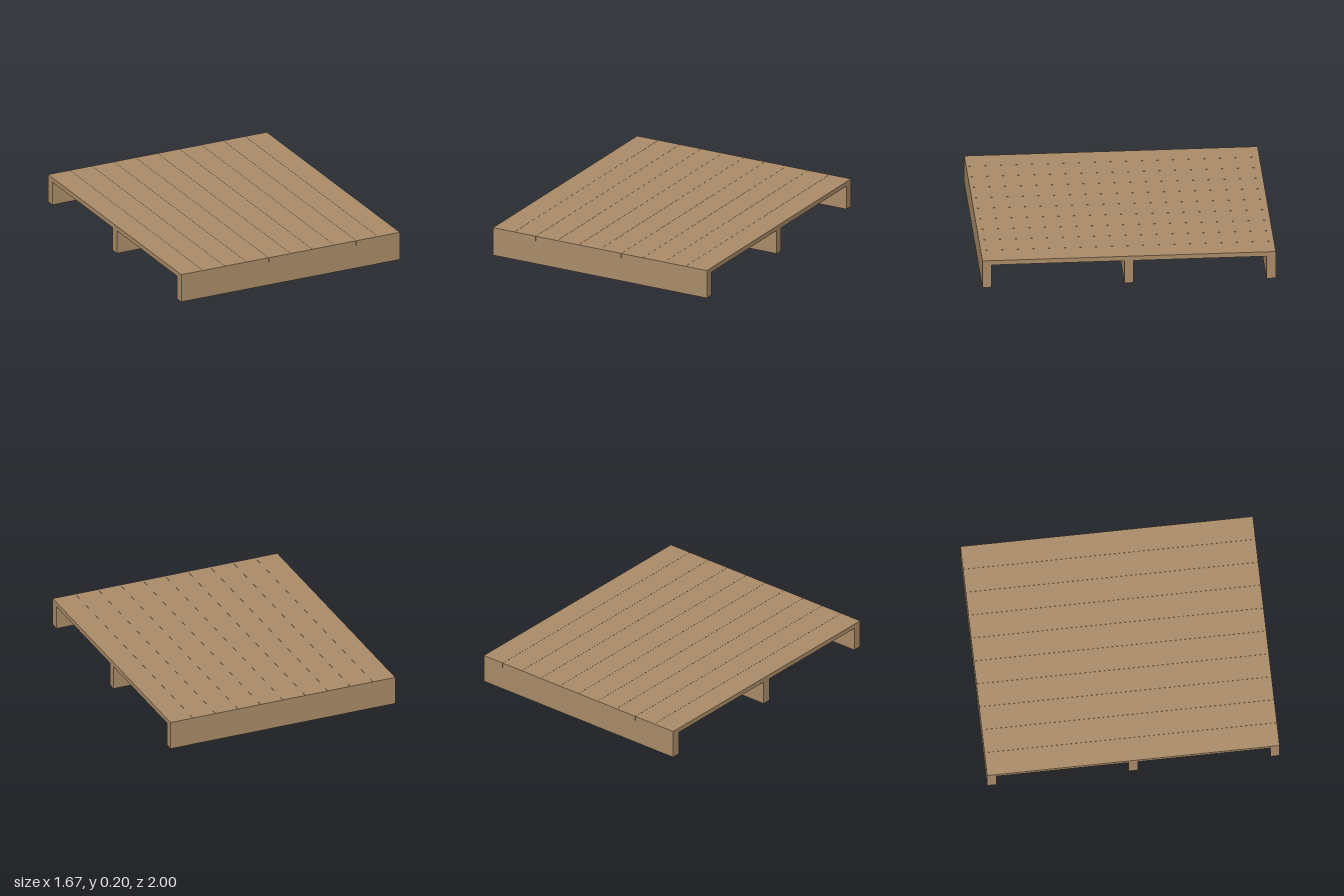
import * as THREE from 'three';

const WIDTH = 1.667, LENGTH = 2;
const BEAM_H = 0.167, BEAM_D = 0.063, BOARD_H = 0.033;
const BOARDS = 10, GAP = 0.001;

export function createModel() {
  const group = new THREE.Group();
  group.name = 'deckPlatform';
  const wood = new THREE.MeshStandardMaterial({ color: 0xaa8c69 });

  const addBox = (name, w, h, d, x, y, z) => {
    const mesh = new THREE.Mesh(new THREE.BoxGeometry(w, h, d), wood);
    mesh.name = name;
    mesh.position.set(x, y, z);
    group.add(mesh);
  };

  // Three cross beams standing on the ground
  const edge = (LENGTH - BEAM_D) / 2;
  [['frontBeam', edge], ['middleBeam', 0], ['backBeam', -edge]].forEach(([name, z]) =>
    addBox(name, WIDTH, BEAM_H, BEAM_D, 0, BEAM_H / 2, z));

  // Deck boards side by side, with hairline joints
  const boardW = (WIDTH - GAP * (BOARDS - 1)) / BOARDS;
  for (let i = 0; i < BOARDS; i++) {
    const x = -WIDTH / 2 + boardW / 2 + i * (boardW + GAP);
    addBox(`deckBoard${i + 1}`, boardW, BOARD_H, LENGTH, x, BEAM_H + BOARD_H / 2, 0);
  }
  return group;
}
